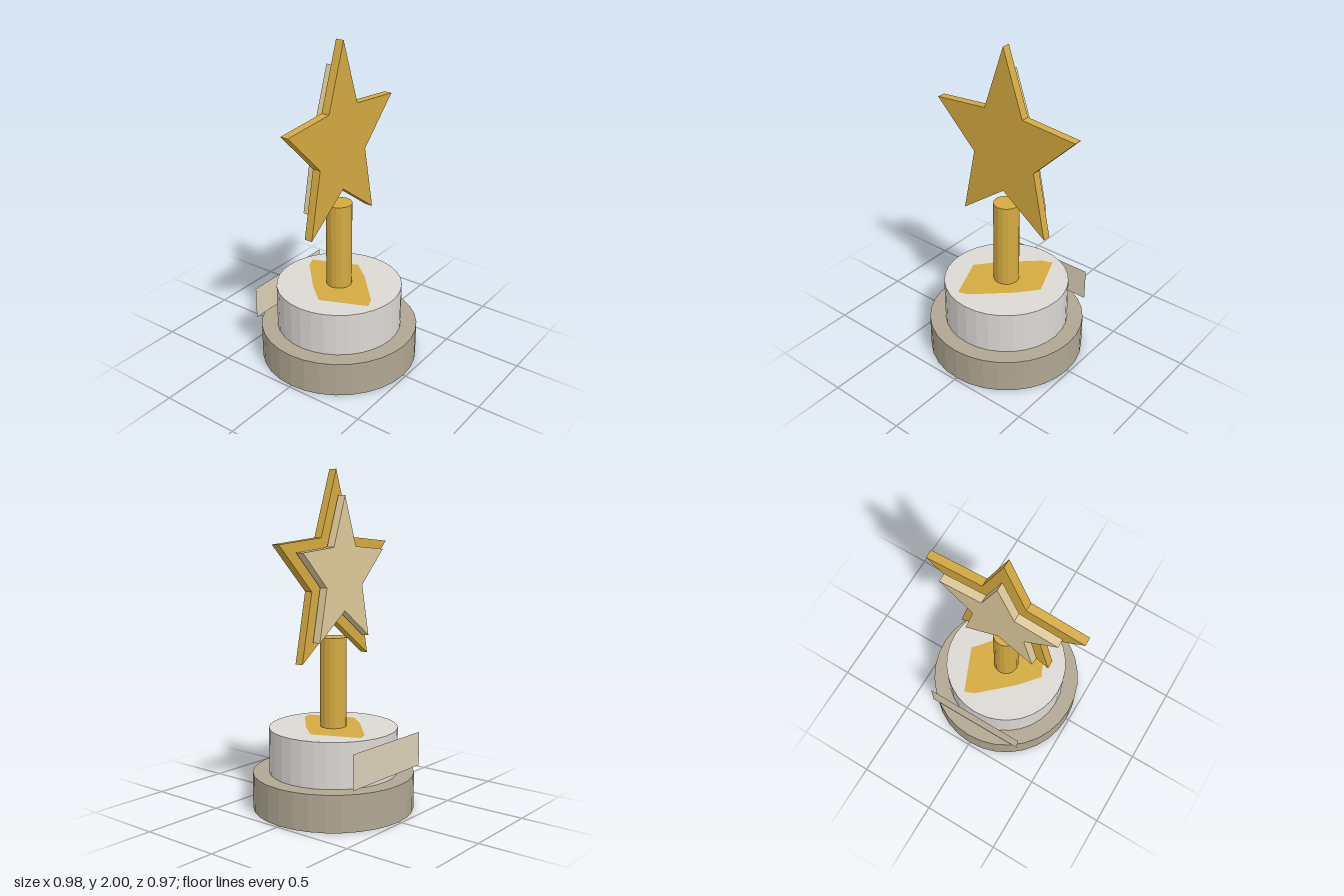
import * as THREE from 'three';

function mat(name, color, side = THREE.FrontSide) {
  const m = new THREE.MeshStandardMaterial({ color, side });
  m.name = name;
  return m;
}

export function createModel() {
  const group = new THREE.Group();
  const gold = mat('gold', 0xd4aa40);
  const silver = mat('silver', 0xdcd8d4);
  const stone = mat('stone', 0xb0a793);
  const paleGold = mat('paleGold', 0xdfca9b);
  const plaqueColor = mat('plaqueBeige', 0xdcd1b8, THREE.DoubleSide);

  const add = (name, geometry, material, x = 0, y = 0, z = 0) => {
    const mesh = new THREE.Mesh(geometry, material);
    mesh.name = name;
    mesh.position.set(x, y, z);
    group.add(mesh);
    return mesh;
  };

  // Upright faceted drum between two heights
  const drum = (name, radius, y0, y1, sides, material) => {
    const g = new THREE.CylinderGeometry(radius, radius, y1 - y0, sides).toNonIndexed();
    g.computeVertexNormals();
    add(name, g, material, 0, (y0 + y1) / 2, 0);
  };

  // Five-pointed star plate, slightly taller than wide
  const star = (name, rx, ry, z0, z1, material) => {
    const points = [];
    for (let i = 0; i < 10; i++) {
      const k = i % 2 ? 0.445 : 1;
      const a = Math.PI / 2 + (i * Math.PI) / 5;
      points.push(new THREE.Vector2(Math.cos(a) * rx * k, Math.sin(a) * ry * k));
    }
    const g = new THREE.ExtrudeGeometry(new THREE.Shape(points), { depth: z1 - z0, bevelEnabled: false });
    add(name, g, material, 0, 1.392, z0);
  };

  // Stepped base and stem
  drum('lowerBase', 0.484, 0, 0.217, 32, stone);
  drum('upperBase', 0.385, 0.217, 0.488, 32, silver);
  drum('stem', 0.079, 0.488, 1.028, 16, gold);

  // Gold inlay on top of the upper base
  const half = [[0.128, 0.306], [0.065, 0.283], [-0.14, 0.095], [-0.245, -0.03]];
  const outline = [...half, ...half.map(([x, y]) => [-x, -y])];
  const inlay = new THREE.ShapeGeometry(new THREE.Shape(outline.map(([x, y]) => new THREE.Vector2(x, y))));
  inlay.rotateX(-Math.PI / 2);
  add('topInlay', inlay, gold, 0, 0.49, 0);

  // Front star and smaller backing star
  star('mainStar', 0.515, 0.608, -0.021, 0.03, gold);
  star('backStar', 0.387, 0.459, -0.087, -0.036, paleGold);

  // Thin plaque behind the base
  const plaque = add('plaque', new THREE.PlaneGeometry(0.645, 0.205), plaqueColor, 0, 0.35, -0.4);
  plaque.rotation.y = Math.PI;

  return group;
}
